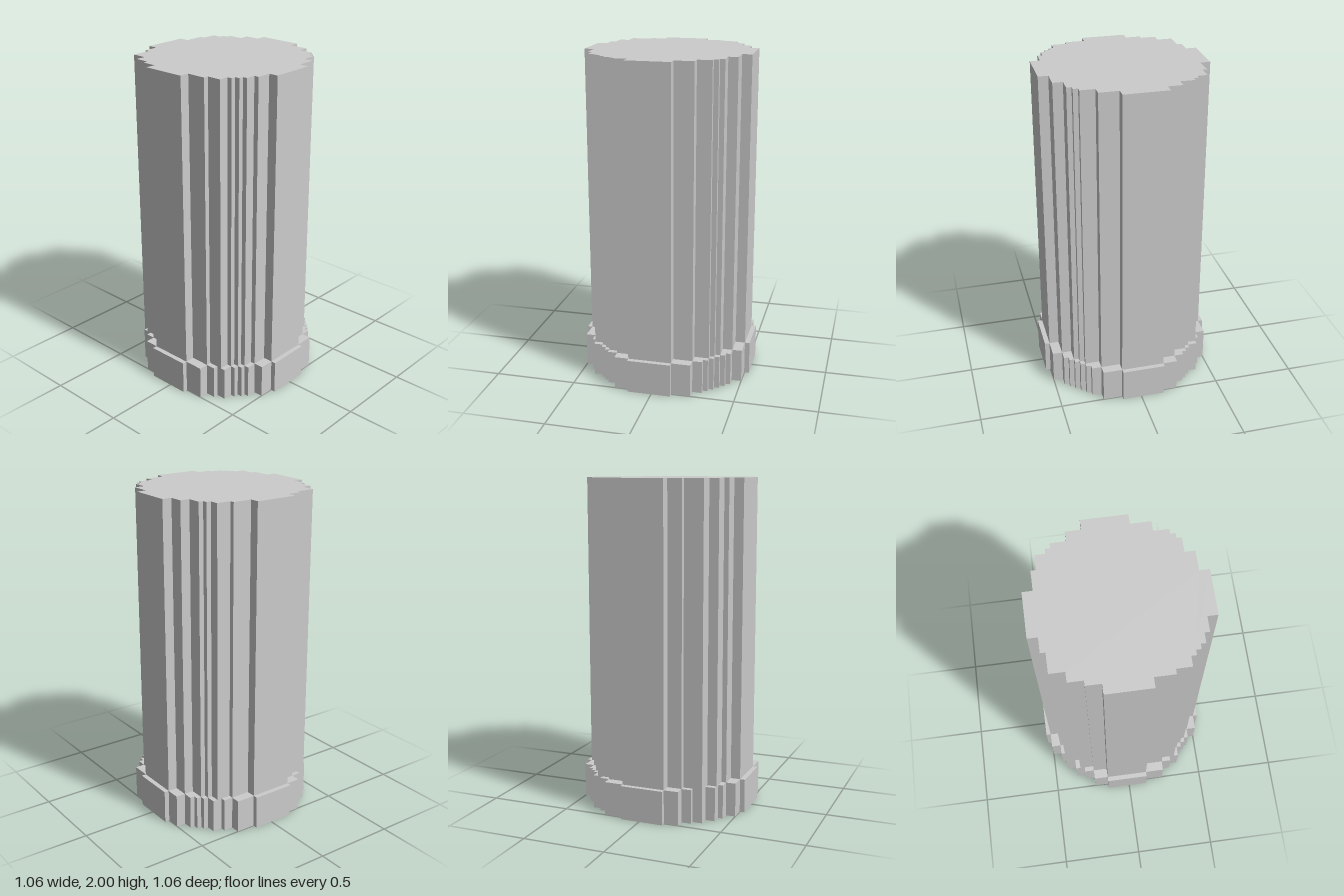
import * as THREE from 'three';

const CELL = 2 / 68; // the outlines follow a square grid, 68 cells tall

// Each row: [z where it starts, x min, x max], in cells; a row ends where the next begins.
const BASE_ROWS = [
  [-18, -5, 4], [-17, -8, 8], [-15, -10, 10], [-14, -11, 11], [-13, -12, 12],
  [-12, -14, 13], [-11, -14, 14], [-10, -15, 15], [-8, -17, 17], [-4, -18, 18],
  [5, -17, 17], [8, -15, 15], [10, -14, 14], [11, -14, 13], [12, -12, 12],
  [14, -10, 10], [15, -8, 8], [17, -5, 4],
];
const COLUMN_ROWS = [
  [-17, -5, 4], [-15, -8, 8], [-13, -11, 11], [-12, -12, 12], [-11, -14, 13],
  [-8, -15, 15], [-4, -17, 17], [5, -15, 15], [8, -14, 14], [10, -14, 13],
  [11, -14, 12], [12, -11, 11], [14, -8, 8], [15, -5, 4],
];

// Stepped round outline: down the right side, back up the left
function steppedShape(rows, zEnd) {
  const right = [], left = [];
  const add = (side, x, z) => {
    const last = side[side.length - 1];
    if (last && last.x === x * CELL) side.pop(); // merge equal neighbouring steps
    if (last && last.x === x * CELL && side.length % 2 === 0) side.push(last);
    side.push(new THREE.Vector2(x * CELL, -z * CELL));
  };
  rows.forEach(([z, x0, x1], i) => {
    const z1 = i + 1 < rows.length ? rows[i + 1][0] : zEnd;
    add(right, x1, z); add(right, x1, z1);
    add(left, x0, z); add(left, x0, z1);
  });
  const points = [...right, ...left.reverse()];
  // drop repeated and collinear points
  const clean = points.filter((p, i) => {
    const a = points[(i + points.length - 1) % points.length];
    return !p.equals(a);
  });
  return new THREE.Shape(clean);
}

function steppedPrism(name, rows, zEnd, y0, y1, material) {
  const geometry = new THREE.ExtrudeGeometry(steppedShape(rows, zEnd), {
    depth: (y1 - y0) * CELL, bevelEnabled: false,
  });
  geometry.rotateX(-Math.PI / 2);
  geometry.translate(0, y0 * CELL, 0);
  const mesh = new THREE.Mesh(geometry, material);
  mesh.name = name;
  return mesh;
}

export function createModel() {
  const group = new THREE.Group();
  group.name = 'steppedPillar';
  const material = new THREE.MeshStandardMaterial({ color: 0xcccccc, flatShading: true });
  group.add(
    steppedPrism('base', BASE_ROWS, 18, 0, 7, material),
    steppedPrism('column', COLUMN_ROWS, 17, 7, 68, material),
  );
  return group;
}
